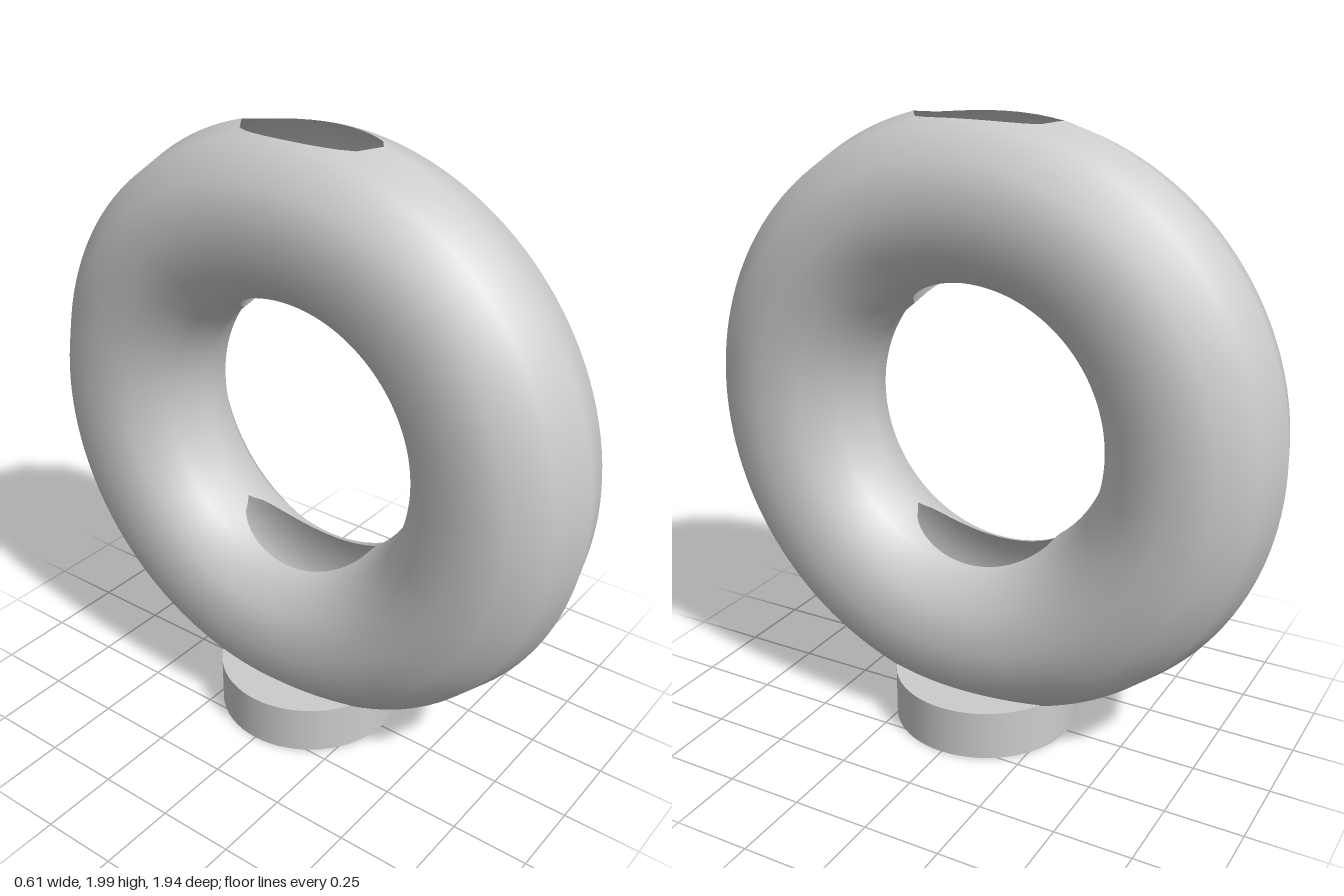
import * as THREE from 'three';

const R = 0.7, r = 0.27, CENTER_Y = 1.052;   // ring radius, tube radius, ring height
const HOLE_X = 0.116, HOLE_Z = 0.25;         // half sizes of the vertical oval opening
const ARC = 144, STEP = Math.PI / 6;         // steps round the ring, twelve-sided tube

// Half width of the oval opening at depth z
function openingAt(z) {
  return Math.abs(z) < HOLE_Z ? HOLE_X * Math.sqrt(1 - (z / HOLE_Z) ** 2) : 0;
}

// One half of the hollow ring (side = 1 or -1), its rims following the oval openings
function halfRing(side) {
  const pos = [], nor = [], index = [];
  const edge = r * Math.sin(STEP);
  for (let i = 0; i <= ARC; i++) {
    const v = (i / ARC) * Math.PI * 2, c = Math.cos(v), s = Math.sin(v);
    for (let j = 0; j <= 6; j++) {
      let a = j * STEP, x = r * Math.sin(a), h = r * Math.cos(a);
      if (j === 0 || j === 6) {
        const sign = j === 0 ? 1 : -1;
        x = openingAt((R + sign * r) * s);
        const t = x / edge;
        h = sign * r * (1 - t * (1 - Math.cos(STEP)));
        a += sign * t * STEP;
      }
      pos.push(side * x, CENTER_Y + (R + h) * c, (R + h) * s);
      nor.push(side * Math.sin(a), Math.cos(a) * c, Math.cos(a) * s);
      if (i < ARC && j < 6) {
        const p = i * 7 + j, q = p + 7;
        if (side > 0) index.push(p, q, p + 1, q, q + 1, p + 1);
        else index.push(p, p + 1, q, q, p + 1, q + 1);
      }
    }
  }
  const g = new THREE.BufferGeometry();
  g.setAttribute('position', new THREE.Float32BufferAttribute(pos, 3));
  g.setAttribute('normal', new THREE.Float32BufferAttribute(nor, 3));
  g.setIndex(index);
  return g;
}

export function createModel() {
  const model = new THREE.Group();
  const grey = new THREE.MeshStandardMaterial({ color: 0xcccccc, side: THREE.DoubleSide });
  grey.name = 'light grey';

  // Hollow upright ring, pierced through its top and bottom
  const ring = new THREE.Group();
  ring.name = 'ring';
  for (const side of [1, -1]) {
    const half = new THREE.Mesh(halfRing(side), grey);
    half.name = side > 0 ? 'ringLeftHalf' : 'ringRightHalf';
    ring.add(half);
  }
  model.add(ring);

  // Round foot
  const base = new THREE.Mesh(new THREE.CylinderGeometry(0.305, 0.305, 0.164, 64), grey);
  base.name = 'base';
  base.position.y = 0.082;
  model.add(base);
  return model;
}
